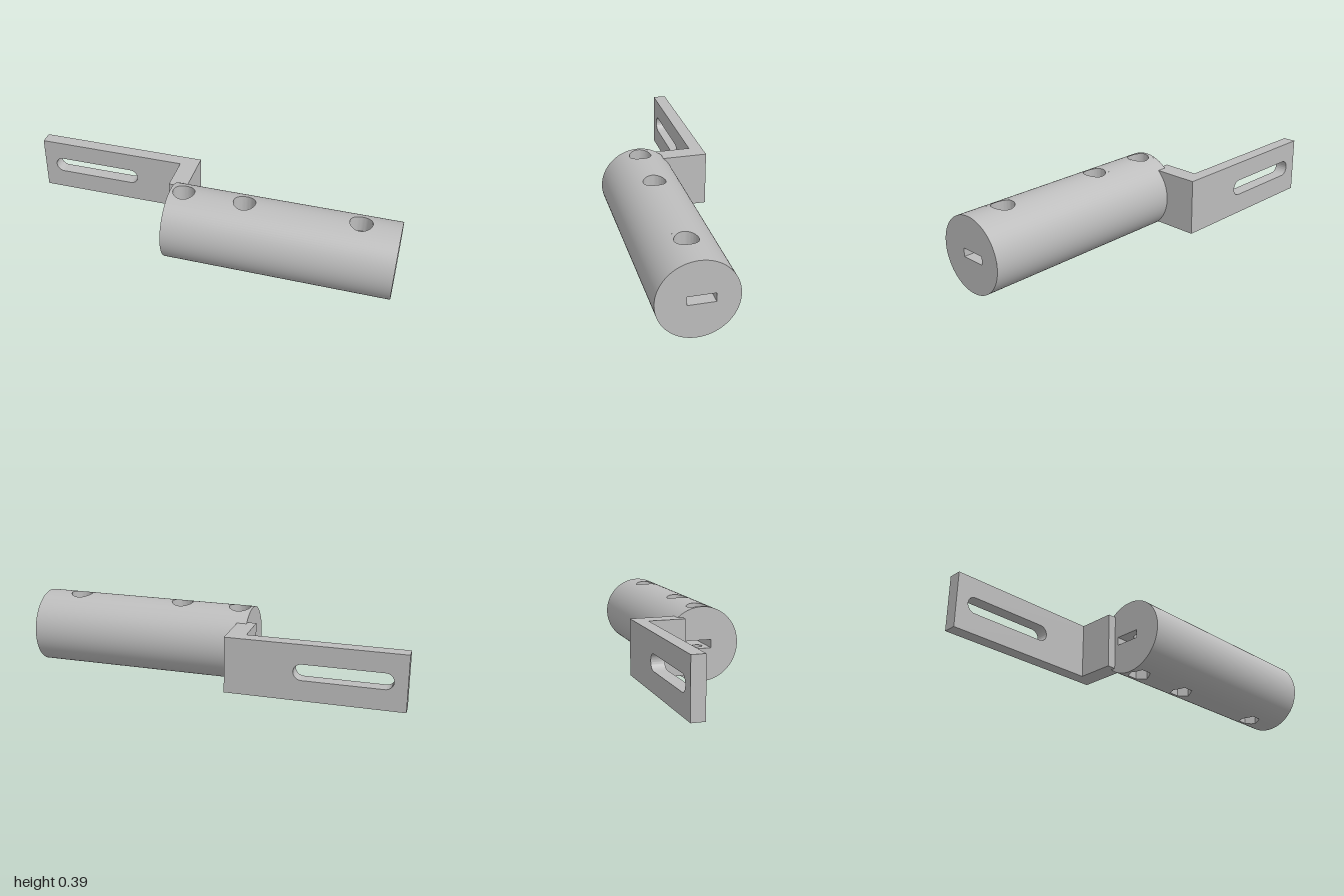
import * as THREE from 'three';
import { mergeGeometries, toCreasedNormals } from 'three/addons/utils/BufferGeometryUtils.js';

// Tube dimensions, in local coordinates with the tube axis on x
const R = 0.193, X0 = -0.16, X1 = 1, AXIS_Z = 0.085;
const HOLES = [-0.09, 0.225, 0.805];
const W = 0.06;             // half width of the drilled strip
const FLOOR = 0.1;          // height of the pocket floors
const BORE = 0.027;         // screw hole radius
const SLOT = { h: 0.0215, z0: -0.082, z1: 0.05 };
const N = 48;

const surfaceY = z => Math.sqrt(R * R - z * z);

// Join rows of points into a triangle surface
function loft(rows) {
  const pos = [];
  for (let i = 0; i < rows.length - 1; i++) {
    for (let j = 0; j < rows[i].length - 1; j++) {
      const a = rows[i][j], b = rows[i][j + 1], c = rows[i + 1][j + 1], d = rows[i + 1][j];
      pos.push(...a, ...b, ...c, ...a, ...c, ...d);
    }
  }
  const g = new THREE.BufferGeometry();
  g.setAttribute('position', new THREE.Float32BufferAttribute(pos, 3));
  return g;
}

// Closed outline around a hole; without y it lies on the tube surface
function ring(x, radiusAt, y) {
  return Array.from({ length: N + 1 }, (_, k) => {
    const a = (k % N) / N * Math.PI * 2, r = radiusAt(a);
    const z = -r * Math.sin(a);
    return [x + r * Math.cos(a), y ?? surfaceY(z), z];
  });
}

const square = a => W / Math.max(Math.abs(Math.cos(a)), Math.abs(Math.sin(a)));
const round = r => () => r;
const hex = a => 0.05 / Math.cos((a % (Math.PI / 3)) - Math.PI / 6);

// Tube section curve at x
const arc = (x, a0, a1, n) => Array.from({ length: n + 1 }, (_, k) => {
  const a = a0 + (a1 - a0) * k / n;
  return [x, R * Math.cos(a), R * Math.sin(a)];
});

// Half of the tube: drilled strip with pockets plus one plain side
function tubeHalf(rim) {
  const skin = [], walls = [], a0 = Math.asin(W / R);
  skin.push(loft([arc(X0, a0, Math.PI - a0, 40), arc(X1, a0, Math.PI - a0, 40)]));
  let x = X0;
  for (const h of HOLES) {
    skin.push(loft([arc(x, -a0, a0, 12), arc(h - W, -a0, a0, 12)]));
    skin.push(loft([ring(h, square), ring(h, a => (square(a) + rim(a)) / 2), ring(h, rim)]));
    walls.push(loft([ring(h, rim), ring(h, rim, FLOOR), ring(h, round(BORE), FLOOR), ring(h, round(BORE), SLOT.h)]));
    x = h + W;
  }
  skin.push(loft([arc(x, -a0, a0, 12), arc(X1, -a0, a0, 12)]));
  return { skin: mergeGeometries(skin), walls: mergeGeometries(walls) };
}

// Flat face with holes, reduced to bare positions
function flat(points, holes) {
  const s = new THREE.Shape(points);
  s.holes = holes.map(h => new THREE.Path(h));
  const g = new THREE.ShapeGeometry(s).toNonIndexed();
  g.deleteAttribute('uv');
  g.deleteAttribute('normal');
  return g;
}

const rect = (xa, ya, xb, yb) => [[xa, ya], [xb, ya], [xb, yb], [xa, yb]].map(p => new THREE.Vector2(...p));
const circle = (cx, r, n) => Array.from({ length: n }, (_, k) => {
  const a = k / n * Math.PI * 2;
  return new THREE.Vector2(cx + r * Math.cos(a), r * Math.sin(a));
});

export function createModel() {
  const model = new THREE.Group();
  const metal = new THREE.MeshStandardMaterial({ color: 0xbdbdbd });
  metal.name = 'grey metal';
  const add = (parent, name, geometry) => {
    const m = new THREE.Mesh(geometry, metal);
    m.name = name;
    parent.add(m);
    return m;
  };

  // Clamp tube: round pockets above, hexagonal pockets below
  const tube = new THREE.Group();
  tube.name = 'clampTube';
  tube.position.set(0, R, AXIS_Z);
  model.add(tube);
  const upper = tubeHalf(round(0.056)), lower = tubeHalf(hex);
  lower.skin.rotateX(Math.PI);
  lower.walls.rotateX(Math.PI);
  const skin = mergeGeometries([upper.skin, lower.skin]);
  const normals = [], p = skin.attributes.position;
  for (let i = 0; i < p.count; i++) {
    const l = Math.hypot(p.getY(i), p.getZ(i));
    normals.push(0, p.getY(i) / l, p.getZ(i) / l);
  }
  skin.setAttribute('normal', new THREE.Float32BufferAttribute(normals, 3));
  add(tube, 'tubeSkin', skin);
  add(tube, 'screwPockets', toCreasedNormals(mergeGeometries([upper.walls, lower.walls]), 0.6));

  // End caps and the rectangular passage running through the tube
  const { h, z0, z1 } = SLOT, bores = HOLES.map(x => circle(x, BORE, N));
  const faces = {
    leftCap: flat(circle(0, R, 128), [rect(-z1, -h, -z0, h)]).rotateY(Math.PI / 2).translate(X1, 0, 0),
    rightCap: flat(circle(0, R, 128), [rect(z0, -h, z1, h)]).rotateY(-Math.PI / 2).translate(X0, 0, 0),
    passageCeiling: flat(rect(X0, z0, X1, z1), bores).rotateX(Math.PI / 2).translate(0, h, 0),
    passageFloor: flat(rect(X0, -z1, X1, -z0), bores).rotateX(-Math.PI / 2).translate(0, -h, 0),
    passageBack: flat(rect(X0, -h, X1, h), []).translate(0, 0, z0),
    passageFront: flat(rect(-X1, -h, -X0, h), []).rotateY(Math.PI).translate(0, 0, z1),
  };
  for (const [name, g] of Object.entries(faces)) {
    g.computeVertexNormals();
    add(tube, name, g);
  }

  // Bracket plate with a long rounded slot
  const bracket = new THREE.Group();
  bracket.name = 'bracket';
  model.add(bracket);
  const y0 = 0.049, y1 = 0.337;
  const plate = new THREE.Shape(rect(-1, y0, -0.11, y1));
  const slot = new THREE.Path(), r = 0.041;
  slot.absarc(-0.894, R + 0.003, r, Math.PI / 2, Math.PI * 1.5);
  slot.absarc(-0.496, R + 0.003, r, -Math.PI / 2, Math.PI / 2);
  slot.closePath();
  plate.holes.push(slot);
  const plateGeo = new THREE.ExtrudeGeometry(plate, { depth: 0.068, bevelEnabled: false, curveSegments: 24 });
  add(bracket, 'slottedPlate', toCreasedNormals(plateGeo, 0.5)).position.z = -0.278;

  // Stepped leg joining the plate to the tube
  const leg = new THREE.Shape([[-0.205, -0.21], [-0.11, -0.21], [-0.11, -0.045], [-0.16, -0.045],
    [-0.16, -0.018], [-0.205, -0.018]].map(q => new THREE.Vector2(...q)));
  const legGeo = new THREE.ExtrudeGeometry(leg, { depth: y1 - y0, bevelEnabled: false });
  add(bracket, 'steppedLeg', legGeo.rotateX(Math.PI / 2)).position.y = y1;

  return model;
}
